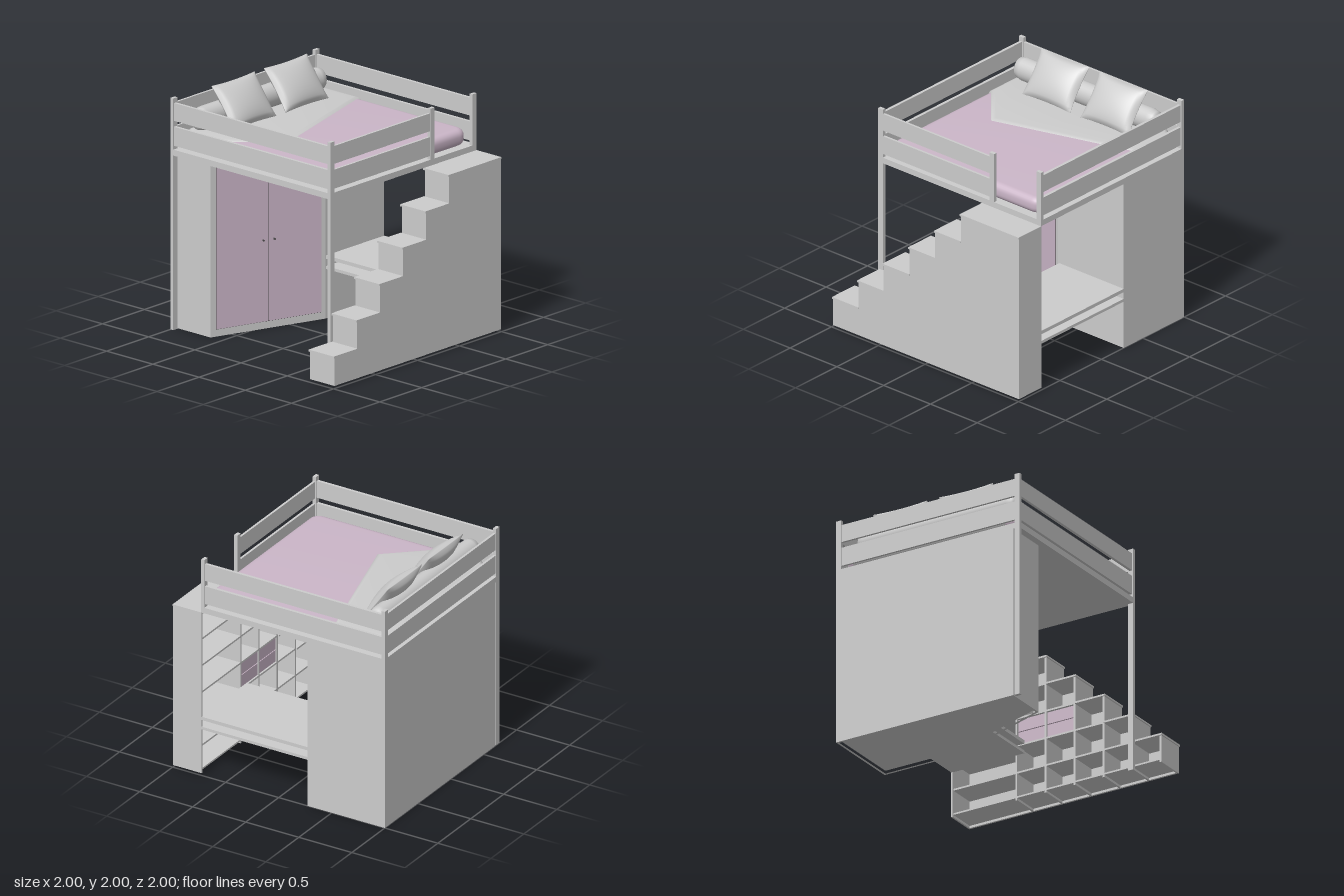
import * as THREE from 'three';
import { mergeVertices, toCreasedNormals } from 'three/addons/utils/BufferGeometryUtils.js';

export function createModel() {
  const model = new THREE.Group();
  const mat = (name, color) => Object.assign(new THREE.MeshStandardMaterial({ color }), { name });
  const grey = mat('paleGrey', 0xcccccc);
  const pink = mat('dustyPink', 0xcbb6c8);
  const dark = mat('handleDark', 0x444444);

  const add = (name, geometry, material = grey, parent = model) => {
    const mesh = new THREE.Mesh(geometry, material);
    mesh.name = name;
    parent.add(mesh);
    return mesh;
  };
  const group = (name) => {
    const g = new THREE.Group();
    g.name = name;
    model.add(g);
    return g;
  };
  // Box given by its limits on each axis
  const box = (name, [x0, x1], [y0, y1], [z0, z1], material = grey, parent = model) => {
    const m = add(name, new THREE.BoxGeometry(x1 - x0, y1 - y0, z1 - z0), material, parent);
    m.position.set((x0 + x1) / 2, (y0 + y1) / 2, (z0 + z1) / 2);
    return m;
  };
  // Upright prism from plan points [x, z]
  const plan = (pts) => pts.map(([x, z]) => new THREE.Vector2(x, -z));
  const prism = (shape, y, depth, options = {}) =>
    new THREE.ExtrudeGeometry(shape, { depth, bevelEnabled: false, ...options })
      .rotateX(-Math.PI / 2).translate(0, y, 0);

  // Bed platform, posts and guard rails
  const bed = group('bedFrame');
  box('platform', [-1, 0.73], [1.47, 1.52], [-1, 0.74], grey, bed);
  const left = [-1, -0.97], right = [0.7, 0.73], front = [0.69, 0.74], back = [-1, -0.95];
  box('frontLeftPost', left, [0, 1.95], front, grey, bed);
  box('frontRightPost', right, [0, 1.95], front, grey, bed);
  box('backLeftPost', left, [1.52, 1.95], back, grey, bed);
  box('backRightPost', right, [1.52, 1.95], back, grey, bed);
  box('entryPost', right, [1.52, 1.95], [-0.5, -0.45], grey, bed);
  for (const y of [[1.55, 1.71], [1.76, 1.91]]) {
    box('frontRail', [-0.97, 0.7], y, [0.705, 0.73], grey, bed);
    box('backRail', [-0.97, 0.7], y, [-0.99, -0.965], grey, bed);
    box('sideRail', [-0.995, -0.975], y, [-0.95, 0.69], grey, bed);
    box('entryRail', [0.705, 0.725], y, [-0.45, 0.69], grey, bed);
  }

  // Mattress with duvet, and the folded-back sheet
  const softSlab = (shape, y, height, r) => toCreasedNormals(prism(shape, y + r, height - 2 * r, {
    bevelEnabled: true, bevelSize: r, bevelThickness: r, bevelSegments: 5, curveSegments: 8,
  }), 0.7);
  const duvet = new THREE.Shape();
  const [x0, x1, y0, y1, r] = [-0.905, 0.635, -0.605, 0.895, 0.05];
  duvet.moveTo(x0 + r, y0).lineTo(x1 - r, y0).quadraticCurveTo(x1, y0, x1, y0 + r)
    .lineTo(x1, y1 - r).quadraticCurveTo(x1, y1, x1 - r, y1)
    .lineTo(x0 + r, y1).quadraticCurveTo(x0, y1, x0, y1 - r)
    .lineTo(x0, y0 + r).quadraticCurveTo(x0, y0, x0 + r, y0);
  add('duvet', softSlab(duvet, 1.521, 0.139, 0.055), pink);
  const sheet = new THREE.Shape(plan([
    [-0.86, -0.9], [-0.51, -0.9], [-0.17, 0.28], [-0.54, 0.61], [-0.86, 0.61], [-0.91, 0.55], [-0.91, -0.84],
  ]));
  add('foldedSheet', softSlab(sheet, 1.521, 0.152, 0.056), grey);

  // Bolster along the head end
  const half = 0.755;
  const profile = [[0, -half], [0.05, -half + 0.005], [0.08, -half + 0.03], [0.09, -half + 0.08],
    [0.09, half - 0.08], [0.08, half - 0.03], [0.05, half - 0.005], [0, half]];
  const bolster = add('bolster', new THREE.LatheGeometry(profile.map((p) => new THREE.Vector2(...p)), 28)
    .rotateX(Math.PI / 2).scale(0.95, 1.1, 1));
  bolster.position.set(-0.83, 1.77, -0.125);

  // Plump cushions with pinched edges
  const cushionShape = () => {
    const g = new THREE.BoxGeometry(2, 2, 2, 20, 20, 1);
    g.deleteAttribute('uv');
    g.deleteAttribute('normal');
    const p = g.attributes.position;
    for (let i = 0; i < p.count; i++) {
      const u = p.getX(i), v = p.getY(i);
      const puff = Math.pow((1 - u * u) * (1 - v * v), 0.5);
      p.setXYZ(i,
        0.255 * u * (1 - 0.05 * (1 - v * v)),
        0.2 * v * (1 - 0.05 * (1 - u * u)),
        Math.sign(p.getZ(i)) * (0.075 * puff + 0.003));
    }
    const merged = mergeVertices(g, 1e-4);
    merged.computeVertexNormals();
    return merged.rotateY(Math.PI / 2).rotateZ(0.63);
  };
  for (const z of [-0.478, 0.145]) add('cushion', cushionShape()).position.set(-0.747, 1.835, z);

  // Corner wardrobe with a slanted front
  const wardrobe = group('wardrobe');
  const a = [-0.62, 0.68], b = [-0.27, -0.3];
  const outline = new THREE.Shape(plan([[-1, -1], [-0.27, -1], b, a, [-1, 0.68]]));
  const inner = plan([[-0.98, -0.98], [-0.29, -0.98], [-0.29, -0.305], [-0.635, 0.66], [-0.98, 0.66]]);
  outline.holes.push(new THREE.Path(inner));
  add('walls', prism(outline, 0, 1.47), grey, wardrobe);
  add('floor', prism(new THREE.Shape(inner), 0.025, 0.02), grey, wardrobe);

  // Doors lie along the slanted face; local x runs from its front end
  const length = Math.hypot(b[0] - a[0], b[1] - a[1]);
  const doors = group('doors');
  doors.position.set(a[0], 0, a[1]);
  doors.rotation.y = Math.atan2(a[1] - b[1], b[0] - a[0]);
  const mid = length / 2;
  box('doorGap', [0.05, length - 0.035], [0.06, 1.435], [0, 0.002], dark, doors);
  box('frontDoor', [0.054, mid - 0.004], [0.064, 1.43], [0, 0.009], pink, doors);
  box('backDoor', [mid + 0.004, length - 0.039], [0.064, 1.43], [0, 0.009], pink, doors);
  for (const s of [-1, 1]) {
    const knob = add('knob', new THREE.CylinderGeometry(0.007, 0.007, 0.02, 12).rotateX(Math.PI / 2), dark, doors);
    knob.position.set(mid + s * 0.05, 0.75, 0.017);
  }

  // Desk top and the shelf below it
  const desk = group('desk');
  box('deskTop', [-0.27, 0.73], [0.5, 0.53], [-1, -0.31], grey, desk);
  box('underShelf', [-0.27, 0.73], [0.415, 0.44], [-1, -0.31], grey, desk);

  // Storage stairs, open towards the desk
  const stairs = group('stairs');
  const edges = [0.985, 0.715, 0.445, 0.17, -0.105, -0.38, -1];
  const t = 0.016;
  const top = (i) => 0.27 + 0.24 * i;
  for (let i = 0; i < 6; i++) {
    const z = [edges[i + 1], edges[i]];
    const inside = [0.735, 0.98];
    box('outerSide', [0.98, 0.997], [0.02, top(i) - t], z, grey, stairs);
    box('riser', inside, [0.02, top(i) - t], [edges[i] - t, edges[i]], grey, stairs);
    box('tread', [0.725, 1], [top(i) - t, top(i)], [edges[i + 1], edges[i] + 0.01], grey, stairs);
    box('bottomShelf', inside, [0.04, 0.055], z, grey, stairs);
    for (let j = 0; j < i; j++) box('shelf', inside, [top(j) - t, top(j)], z, grey, stairs);
    // Pairs of small drawers in two of the bays
    if (i === 3 || i === 4) {
      for (const y of [0.515, 0.625]) {
        box('drawer', [0.745, 0.96], [y, y + 0.103], [z[0] + 0.004, z[1] - t - 0.004], pink, stairs);
      }
    }
  }
  box('backPanel', [0.725, 0.997], [0.02, top(5) - t], [-1, -0.985], grey, stairs);

  return model;
}
